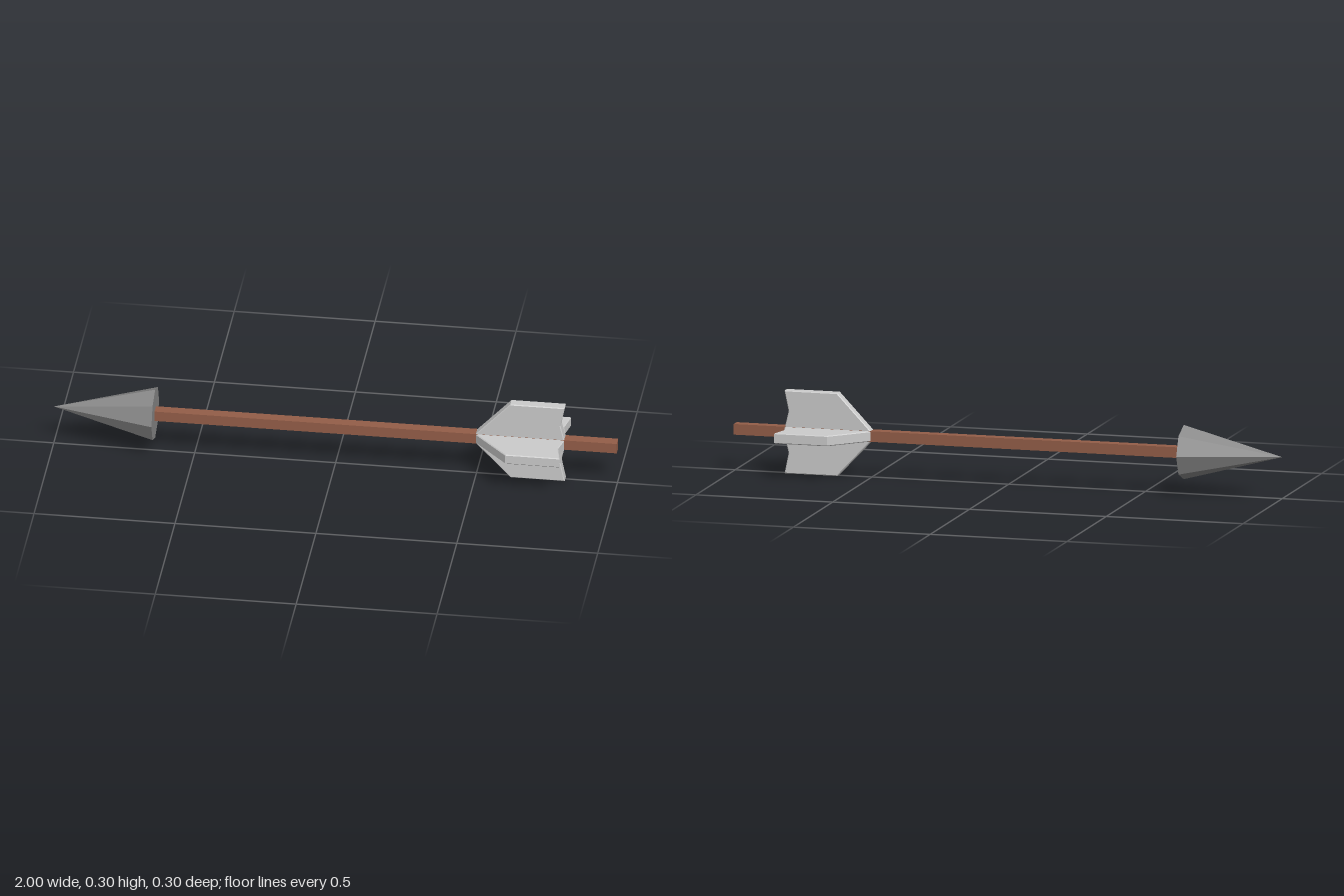
import * as THREE from 'three';

export function createModel() {
  const model = new THREE.Group();
  const material = (color) => new THREE.MeshStandardMaterial({ color, flatShading: true });
  const add = (name, geometry, mat) => {
    const mesh = new THREE.Mesh(geometry, mat);
    mesh.name = name;
    model.add(mesh);
    return mesh;
  };

  // Square wooden shaft, its front end set into the head
  const shaft = add('shaft', new THREE.BoxGeometry(1.66, 0.038, 0.038), material(0x945e48));
  shaft.position.x = 0.17;

  // Eight-sided pointed head facing -x
  const headGeometry = new THREE.ConeGeometry(0.097, 0.36, 8);
  headGeometry.rotateZ(Math.PI / 2);
  const head = add('arrowhead', headGeometry, material(0x8a8a8a));
  head.position.x = -0.82;

  // Fletching: four thick vanes with slanted fronts and notched tails
  const outline = new THREE.Shape([
    [0.5, 0], [0.815, 0], [0.815, 0.012], [0.8, 0.075],
    [0.815, 0.148], [0.622, 0.148], [0.5, 0.019],
  ].map(([x, y]) => new THREE.Vector2(x, y)));
  const bevel = 0.003, thickness = 0.037;
  const vaneGeometry = new THREE.ExtrudeGeometry(outline, {
    depth: thickness - 2 * bevel,
    bevelThickness: bevel, bevelSize: bevel, bevelOffset: -bevel, bevelSegments: 1,
  });
  vaneGeometry.translate(0, 0, bevel - thickness / 2);
  const vaneMaterial = material(0xcccccc);
  ['topVane', 'frontVane', 'bottomVane', 'backVane'].forEach((name, i) => {
    add(name, vaneGeometry, vaneMaterial).rotation.x = i * Math.PI / 2;
  });

  // Rest the lowest vane on the ground
  model.position.y = 0.149;
  const root = new THREE.Group();
  root.name = 'arrow';
  root.add(model);
  return root;
}
